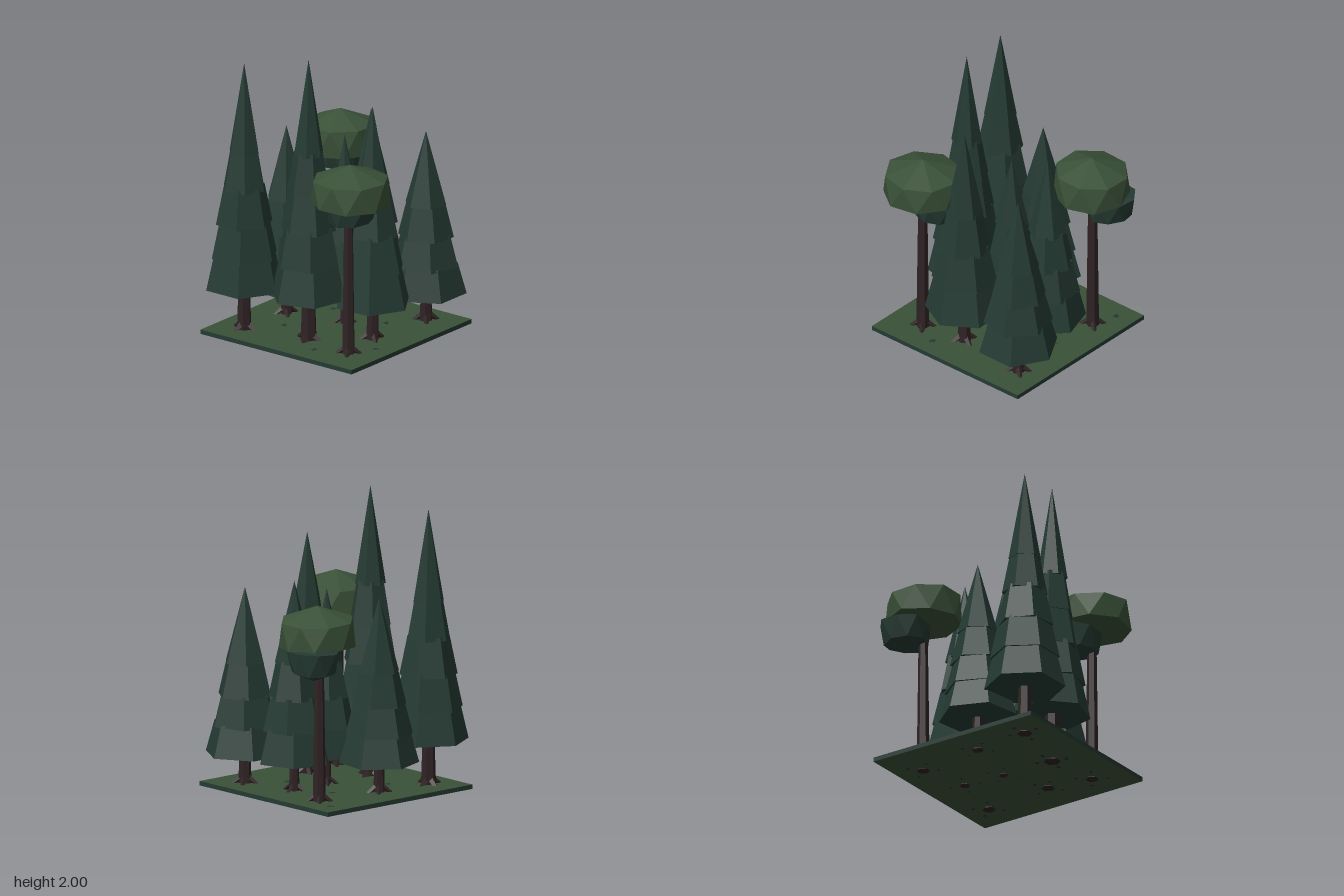
import * as THREE from 'three';
import { ConvexGeometry } from 'three/addons/geometries/ConvexGeometry.js';

const flat = (name, color) => {
  const m = new THREE.MeshStandardMaterial({ color, flatShading: true });
  m.name = name;
  return m;
};

export function createModel() {
  const moss = flat('moss green', 0x3a5138);
  const pine = flat('dark pine', 0x253a33);
  const bark = flat('dark bark', 0x302324);
  const model = new THREE.Group();
  model.name = 'forestPatch';

  let seed = 7;
  const rand = () => (seed = (seed * 16807) % 2147483647) / 2147483647;
  const jitter = (a) => (rand() - 0.5) * 2 * a;

  const add = (parent, name, geo, mat, x = 0, y = 0, z = 0) => {
    const mesh = new THREE.Mesh(geo, mat);
    mesh.name = name;
    mesh.position.set(x, y, z);
    parent.add(mesh);
    return mesh;
  };

  const treeGroup = (name, x, z) => {
    const g = new THREE.Group();
    g.name = name;
    g.position.set(x, 0, z);
    model.add(g);
    return g;
  };

  // Tapered trunk with roots splaying out over the ground
  const addTrunk = (tree, height, r) => {
    add(tree, 'trunk', new THREE.CylinderGeometry(r * 0.8, r * 1.15, height, 6), bark, 0, height / 2 + 0.005, 0);
    const turn = rand() * 6;
    for (let i = 0; i < 4; i++) {
      const geo = new THREE.CylinderGeometry(r * 0.55, r * 0.3, 0.13, 4);
      geo.translate(0, -0.065, 0).rotateZ(0.9).translate(r * 0.2, 0.09, 0);
      geo.rotateY(turn + (i * Math.PI) / 2 + jitter(0.3));
      add(tree, 'root', geo, bark);
    }
  };

  // Conifer: stacked six-sided skirts below a tall pointed cap
  const addConifer = ([x, z, base, top, radius, turn, steps, taper, trunkR]) => {
    const tree = treeGroup('conifer', x, z);
    addTrunk(tree, base + 0.15, trunkR);
    const span = top - base;
    const widthAt = (t) => radius * (1 - taper * t);
    steps.forEach((t, i) => {
      const last = i === steps.length - 1;
      const end = last ? 1 : steps[i + 1] + 0.015;
      const upper = last ? 0 : widthAt(steps[i + 1]) * 0.92;
      const h = (end - t) * span;
      const geo = new THREE.CylinderGeometry(upper, widthAt(t), h, 6);
      geo.rotateY(turn + (i ? jitter(0.35) : 0));
      add(tree, last ? 'foliageTip' : 'foliageTier', geo, pine, 0, base + t * span + h / 2, 0);
    });
  };
  const tall = [0, 0.14, 0.285, 0.44, 0.6];
  const short = [0, 0.175, 0.35, 0.55];
  [
    // x, z, foliage base, top, radius, turn, tiers, taper, trunk radius
    [-0.46, -0.42, 0.34, 1.9, 0.27, 0, tall, 1, 0.045],
    [-0.355, 0.04, 0.34, 2.0, 0.26, 0.3, tall, 1, 0.05],
    [-0.09, 0.37, 0.29, 1.67, 0.262, 0.05, short, 0.95, 0.04],
    [0.035, 0.035, 0.24, 1.36, 0.22, 0.2, short, 0.88, 0.027],
    [-0.055, -0.385, 0.24, 1.36, 0.265, -0.15, short, 0.88, 0.035],
    [0.335, 0.02, 0.24, 1.46, 0.255, 0.3, short, 0.88, 0.032],
    [0.42, 0.415, 0.24, 1.365, 0.272, Math.PI / 6, short, 0.88, 0.04],
  ].forEach(addConifer);

  // Faceted leaf clump made from two staggered rings and two poles
  const clump = (rx, rz, yLow, y1, y2, yHigh, lower, upper) => {
    const n = 8;
    const pts = [new THREE.Vector3(0, yLow, 0), new THREE.Vector3(0, yHigh, 0)];
    const turn = rand();
    for (let i = 0; i < n; i++) {
      const a = turn + (i / n) * Math.PI * 2;
      const b = a + Math.PI / n;
      pts.push(new THREE.Vector3(Math.cos(a) * rx * lower, y1 + jitter(0.012), Math.sin(a) * rz * lower));
      pts.push(new THREE.Vector3(Math.cos(b) * rx * upper, y2 + jitter(0.012), Math.sin(b) * rz * upper));
    }
    return new ConvexGeometry(pts);
  };

  // Broadleaf: tall bare trunk, light canopy, darker offset clump beneath
  [
    { x: -0.41, z: 0.42, r: 0.265, cx: 0.01, cz: 0.01, sx: 0.09, sz: -0.05 },
    { x: 0.425, z: -0.33, r: 0.255, cx: 0.005, cz: 0.015, sx: 0.1, sz: -0.055 },
  ].forEach((t) => {
    const tree = treeGroup('broadleafTree', t.x, t.z);
    addTrunk(tree, 1.0, 0.038);
    add(tree, 'canopy', clump(t.r, t.r, 1.03, 1.09, 1.265, 1.36, 1, 0.97), moss, t.cx, 0, t.cz);
    add(tree, 'lowerCanopy', clump(0.18, 0.18, 0.875, 0.935, 1.08, 1.11, 0.82, 1), pine, t.sx, 0, t.sz);
  });

  // Ground slab: mossy top and underside, dark rim
  add(model, 'ground', new THREE.BoxGeometry(1.275, 0.03, 1.275),
    [pine, pine, moss, moss, pine, pine], -0.0225, 0.025, 0.0075);

  // Small tufts lying on the ground
  [[-0.24, 0.52], [-0.5, 0.2], [0.2, 0.25], [0.2, -0.2], [-0.25, -0.25], [0.48, -0.5]].forEach(([x, z]) => {
    const geo = new THREE.IcosahedronGeometry(0.035, 0);
    geo.scale(1.2, 0.5, 0.8).rotateY(rand() * 3);
    add(model, 'tuft', geo, pine, x, 0.03, z);
  });

  return model;
}
